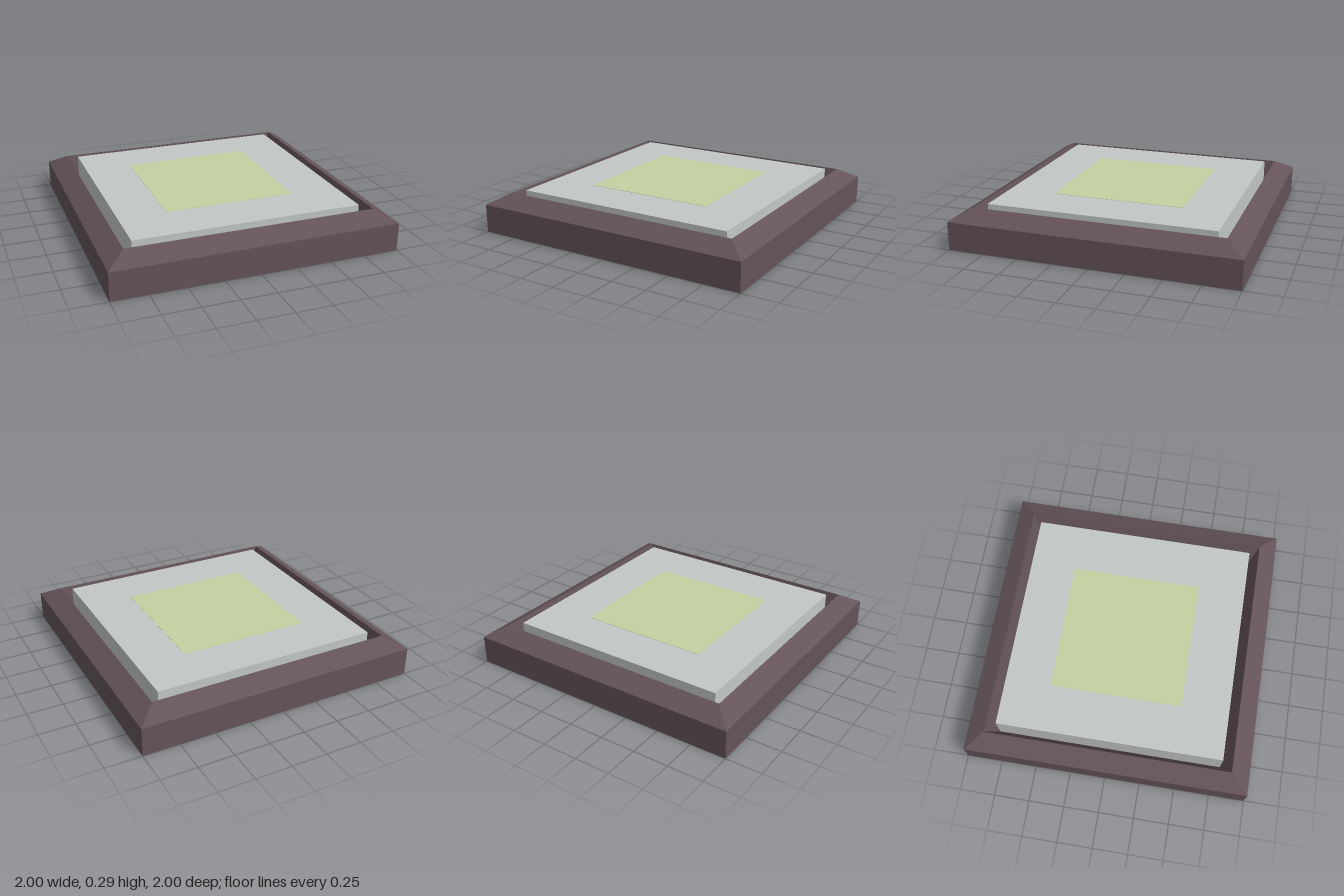
import * as THREE from 'three';

// Square ring profile: [half width, height] pairs swept around four sides
function squareLoft(profile) {
  const points = profile.map(([half, y]) => new THREE.Vector2(half * Math.SQRT2, y));
  const geometry = new THREE.LatheGeometry(points, 4, Math.PI / 4).toNonIndexed();
  geometry.computeVertexNormals();
  return geometry;
}

function material(name, color) {
  const m = new THREE.MeshStandardMaterial({ color });
  m.name = name;
  return m;
}

export function createModel() {
  const group = new THREE.Group();
  const frameColor = material('dark mauve', 0x645358);
  const panelColor = material('pale grey', 0xc2c7c5);
  const padColor = material('soft green', 0xc5d1a2);

  const add = (name, geometry, mat, x = 0, y = 0, z = 0) => {
    const mesh = new THREE.Mesh(geometry, mat);
    mesh.name = name;
    mesh.position.set(x, y, z);
    group.add(mesh);
  };

  // Tray with a bevelled rim and a steep recess
  add('frame', squareLoft([
    [0, 0], [1, 0], [1, 0.2], [0.87, 0.275], [0.8, 0.05], [0, 0.05],
  ]), frameColor);

  // Raised slab set into the recess
  add('panel', new THREE.BoxGeometry(1.6, 0.235, 1.6), panelColor, 0, 0.1675, 0);

  // Thin coloured square on the slab
  add('centrePad', new THREE.BoxGeometry(0.925, 0.004, 0.935), padColor, -0.005, 0.285, -0.007);

  return group;
}
